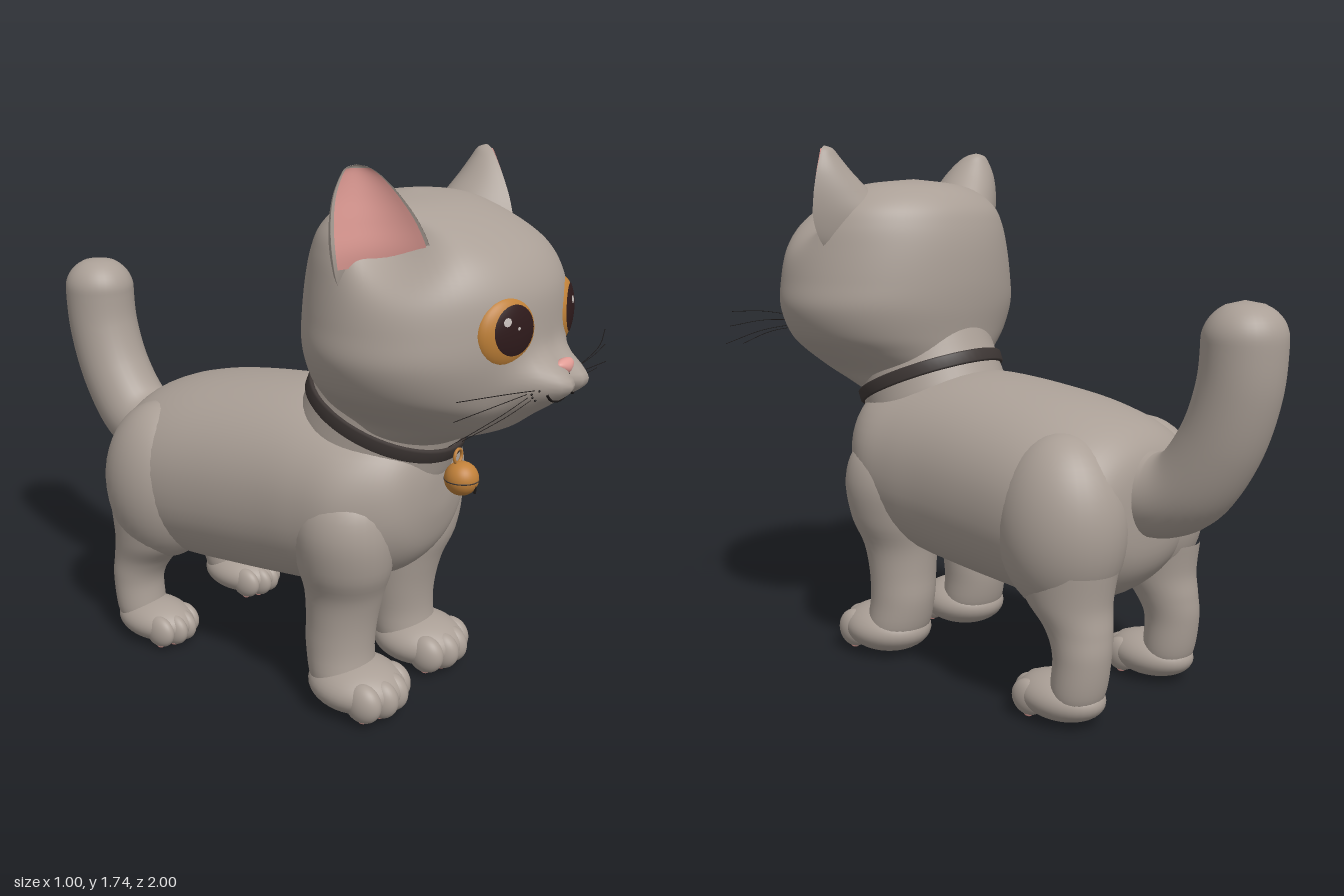
import * as THREE from 'three';
import { mergeVertices } from 'three/addons/utils/BufferGeometryUtils.js';

const mat = (name, hex, side = THREE.FrontSide) => {
  const m = new THREE.MeshStandardMaterial({ color: hex, side });
  m.name = name;
  return m;
};

// Smooth interpolation through a list of cross-sections, t in 0..1
function section(list, t) {
  const f = t * (list.length - 1);
  const i = Math.min(Math.floor(f), list.length - 2), s = f - i;
  const at = (k) => list[Math.max(0, Math.min(list.length - 1, k))];
  return list[i].map((_, k) => {
    const [a, b, c, d] = [at(i - 1)[k], at(i)[k], at(i + 1)[k], at(i + 2)[k]];
    return b + 0.5 * s * (c - a + s * (2 * a - 5 * b + 4 * c - d + s * (3 * (b - c) + d - a)));
  });
}

// Grid surface from a rule fn(u, v) -> [x, y, z]
function surface(fn, nu, nv) {
  const pos = [], idx = [];
  for (let j = 0; j <= nv; j++) for (let i = 0; i <= nu; i++) pos.push(...fn(i / nu, j / nv));
  for (let j = 0; j < nv; j++) for (let i = 0; i < nu; i++) {
    const a = j * (nu + 1) + i, b = a + 1, c = a + nu + 1, d = c + 1;
    idx.push(a, b, c, b, d, c);
  }
  let g = new THREE.BufferGeometry();
  g.setAttribute('position', new THREE.Float32BufferAttribute(pos, 3));
  g.setIndex(idx);
  g = mergeVertices(g, 1e-5);
  g.computeVertexNormals();
  return g;
}

// Upright limb: rows of [y, centreX, centreZ, radiusX, radiusZ]
const limb = (rows) => surface((u, v) => {
  const [y, cx, cz, rx, rz] = section(rows, v), a = u * Math.PI * 2;
  return [cx + rx * Math.sin(a), y, cz + rz * Math.cos(a)];
}, 32, 36);

export function createModel() {
  const fur = mat('fur', 0xaa9f96);
  const pink = mat('pink skin', 0xe09c95, THREE.DoubleSide);
  const amber = mat('amber iris', 0xc08138);
  const dark = mat('dark pupil', 0x2e1a1b);
  const shine = mat('eye highlight', 0xc4bcb8);
  const leather = mat('collar leather', 0x3d3634);
  const line = mat('whisker black', 0x1c1817);
  const brass = mat('bell brass', 0xc08039);

  const root = new THREE.Group();
  root.name = 'cat';
  const add = (parent, name, geo, m, p = [0, 0, 0], s = [1, 1, 1]) => {
    const mesh = new THREE.Mesh(geo, m);
    mesh.name = name;
    mesh.position.set(...p);
    mesh.scale.set(...s);
    parent.add(mesh);
    return mesh;
  };
  const ball = new THREE.SphereGeometry(1, 36, 24);

  // Torso, rear to front: [z, centreY, halfHeight, halfWidth]
  const torso = [[-0.595, 0.64, 0, 0], [-0.585, 0.64, 0.14, 0.2], [-0.54, 0.635, 0.225, 0.295],
    [-0.45, 0.627, 0.285, 0.35], [-0.3, 0.632, 0.322, 0.367], [-0.1, 0.652, 0.332, 0.36],
    [0.1, 0.668, 0.331, 0.35], [0.25, 0.675, 0.315, 0.347], [0.38, 0.69, 0.275, 0.335],
    [0.48, 0.70, 0.25, 0.28], [0.55, 0.715, 0.185, 0.205], [0.58, 0.73, 0.09, 0.1], [0.585, 0.73, 0, 0]];
  const soft = (c) => Math.sign(c) * Math.pow(Math.abs(c), 0.93);
  add(root, 'torso', surface((u, v) => {
    const [z, cy, h, w] = section(torso, v), a = u * Math.PI * 2;
    return [w * soft(Math.cos(a)), cy + h * soft(Math.sin(a)), z];
  }, 48, 60), fur);

  // Head rows: [y, halfWidth, frontZ, backZ], with muzzle swelling and ear hollows
  const skull = [[0.89, 0.17, 0.6, 0.24], [0.94, 0.215, 0.7, 0.21], [0.99, 0.255, 0.815, 0.2],
    [1.06, 0.345, 0.87, 0.19], [1.12, 0.405, 0.885, 0.183], [1.21, 0.44, 0.9, 0.17],
    [1.3, 0.43, 0.905, 0.165], [1.4, 0.41, 0.892, 0.17], [1.48, 0.385, 0.845, 0.185],
    [1.54, 0.345, 0.77, 0.21], [1.59, 0.27, 0.675, 0.26], [1.62, 0.175, 0.58, 0.33], [1.637, 0, 0.45, 0.45]];
  const head = add(root, 'head', surface((u, v) => {
    const [y, w, f, b] = section(skull, v), a = u * Math.PI * 2;
    let x = w * Math.sin(a), z = (f + b) / 2 + (f - b) / 2 * Math.cos(a);
    if (Math.cos(a) > 0) {
      const pads = Math.exp(-(((Math.abs(x) - 0.05) / 0.09) ** 2) - ((y - 1.142) / 0.068) ** 2);
      const chin = Math.exp(-((x / 0.08) ** 2) - ((y - 1.06) / 0.04) ** 2);
      z += 0.118 * pads + 0.015 * chin;
    }
    const r2 = (Math.abs(x) - 0.34) ** 2 + (y - 1.53) ** 2 + (z - 0.61) ** 2;
    const hollow = 0.08 * Math.exp(-r2 / 0.01);
    return [x - Math.sign(x) * hollow, y, z - hollow];
  }, 96, 80), fur);
  head.updateMatrixWorld(true);
  const ray = new THREE.Raycaster();
  const faceZ = (x, y) => {
    ray.set(new THREE.Vector3(x, y, 3), new THREE.Vector3(0, 0, -1));
    return ray.intersectObject(head)[0].point.z;
  };
  const tube = (pts, r, n = 20, sides = 6) =>
    new THREE.TubeGeometry(new THREE.CatmullRomCurve3(pts.map((p) => new THREE.Vector3(...p))), n, r, sides);

  // Neck and collar share one forward tilt
  const neck = new THREE.Group();
  neck.name = 'neckAndCollar';
  neck.position.set(0, 0.955, 0.375);
  neck.rotation.x = 0.385;
  root.add(neck);
  const lathe = (pts) => new THREE.LatheGeometry(pts.map((p) => new THREE.Vector2(...p)), 56);
  add(neck, 'neck', lathe([[0.19, -0.27], [0.232, -0.19], [0.245, -0.12], [0.243, -0.06], [0.238, 0], [0.236, 0.06], [0.236, 0.13]]),
    fur, [0, 0, 0], [1, 1, 1.06]);
  add(neck, 'collar', lathe([[0.23, -0.022], [0.246, -0.022], [0.251, -0.017], [0.251, 0.017], [0.246, 0.022], [0.23, 0.022]]),
    leather, [0, 0, 0], [1, 1, 1.06]);

  // Bell
  add(root, 'bell', ball, brass, [0, 0.782, 0.65], [0.053, 0.053, 0.053]);
  add(root, 'bellRing', new THREE.TorusGeometry(0.022, 0.005, 8, 24), brass, [0, 0.85, 0.635]);
  add(root, 'bellBand', new THREE.TorusGeometry(0.0525, 0.002, 6, 40), leather, [0, 0.78, 0.65]).rotation.x = Math.PI / 2;
  add(root, 'bellSlot', new THREE.BoxGeometry(0.004, 0.03, 0.008), line, [0, 0.758, 0.697]);

  // Nose, narrowing downward
  const nose = ball.clone();
  const np = nose.attributes.position;
  for (let i = 0; i < np.count; i++) np.setX(i, np.getX(i) * (0.62 + 0.38 * np.getY(i)));
  nose.computeVertexNormals();
  add(root, 'nose', nose, pink, [0, 1.186, faceZ(0, 1.186) - 0.002], [0.062, 0.023, 0.022]);

  // Mouth
  const mouth = [-0.105, -0.085, -0.055, -0.025, 0, 0.025, 0.055, 0.085, 0.105];
  const mouthY = [1.13, 1.11, 1.1, 1.107, 1.125, 1.107, 1.1, 1.11, 1.13];
  add(root, 'mouth', tube(mouth.map((x, i) => [x, mouthY[i], faceZ(x, mouthY[i])]), 0.004, 48), line);
  add(root, 'lipLine', tube([1.17, 1.147, 1.125].map((y) => [0, y, faceZ(0, y)]), 0.002, 10), line);

  // Tail with rounded tip: a tube whose radius closes at the end
  const tailPath = new THREE.CatmullRomCurve3([[0.69, -0.5], [0.69, -0.62], [0.735, -0.71], [0.87, -0.805],
    [1.03, -0.86], [1.15, -0.873], [1.285, -0.87]].map(([y, z]) => new THREE.Vector3(0, y, z)));
  const tailLength = tailPath.getLength();
  add(root, 'tail', surface((u, v) => {
    const p = tailPath.getPointAt(v), t = tailPath.getTangentAt(v), a = u * Math.PI * 2;
    const left = (1 - v) * tailLength, full = 0.123 + 0.012 * (1 - v) ** 3;
    const r = full * (left < 0.11 ? Math.sqrt(Math.max(0, 1 - (1 - left / 0.11) ** 2)) : 1);
    return [-r * Math.cos(a), p.y - r * Math.sin(a) * t.z, p.z + r * Math.sin(a) * t.y];
  }, 32, 70), fur);

  // Ear rows: [y, centreX, centreZ, halfWidth, depth]
  const earRows = [[1.35, 0.28, 0.5, 0.07, 0.1], [1.42, 0.315, 0.545, 0.12, 0.2], [1.5, 0.336, 0.56, 0.135, 0.255],
    [1.58, 0.347, 0.545, 0.122, 0.185], [1.65, 0.354, 0.523, 0.094, 0.11], [1.7, 0.357, 0.506, 0.062, 0.06],
    [1.728, 0.36, 0.495, 0.034, 0.032], [1.738, 0.36, 0.49, 0, 0]];
  const K = Math.SQRT1_2;
  const earPoint = (row, lx, lz) => [row[1] + K * (lx + lz), row[0], row[2] + K * (lz - lx)];
  const earShell = surface((u, v) => {
    const row = section(earRows, v), a = u * Math.PI * 2, c = Math.cos(a);
    return earPoint(row, row[3] * Math.sin(a), c > 0 ? -0.3 * row[3] * c * c : row[4] * c);
  }, 40, 40);
  const earInner = surface((u, v) => {
    const row = section(earRows, 0.22 + 0.64 * v), s = (u * 2 - 1) * 0.92;
    return earPoint(row, row[3] * s, -0.3 * row[3] * (1 - s * s) + 0.006);
  }, 16, 24);

  const frontLeg = limb([[0.03, 0.19, 0.37, 0.05, 0.05], [0.09, 0.189, 0.36, 0.11, 0.1], [0.2, 0.183, 0.34, 0.112, 0.11],
    [0.3, 0.178, 0.342, 0.116, 0.115], [0.4, 0.18, 0.35, 0.124, 0.13], [0.5, 0.198, 0.36, 0.142, 0.155],
    [0.63, 0.21, 0.36, 0.146, 0.165], [0.74, 0.2, 0.36, 0.115, 0.13], [0.82, 0.19, 0.36, 0, 0]]);
  const hindLeg = limb([[0.03, 0.24, -0.47, 0.05, 0.05], [0.1, 0.24, -0.484, 0.086, 0.082], [0.22, 0.238, -0.497, 0.088, 0.09],
    [0.3, 0.23, -0.477, 0.097, 0.108], [0.38, 0.225, -0.435, 0.118, 0.142], [0.48, 0.22, -0.415, 0.135, 0.175]]);

  // Paired parts, built on the left (+x) and mirrored
  for (const side of [1, -1]) {
    const half = new THREE.Group();
    half.name = side > 0 ? 'leftSide' : 'rightSide';
    half.scale.x = side;
    root.add(half);

    add(half, 'ear', earShell, fur);
    add(half, 'innerEar', earInner, pink);
    add(half, 'frontLeg', frontLeg, fur);
    add(half, 'hindLeg', hindLeg, fur);
    add(half, 'haunch', ball, fur, [0.205, 0.6, -0.39], [0.186, 0.28, 0.212]);

    // Paws with toes and pads: [centreX, centreZ, radiusX, radiusZ, halfHeight]
    for (const [name, x, z, rx, rz, h] of [['frontPaw', 0.19, 0.41, 0.142, 0.162, 0.084], ['hindPaw', 0.238, -0.418, 0.108, 0.152, 0.072]]) {
      add(half, name, ball, fur, [x, h + 0.005, z], [rx, h, rz]);
      for (const k of [-1.5, -0.5, 0.5, 1.5]) {
        const tz = z + rz * (Math.abs(k) > 1 ? 0.5 : 0.66);
        add(half, name + 'Toe', ball, fur, [x + k * rx * 0.4, h * 0.94, tz], [rx * 0.31, h * 0.78, rz * 0.4]);
        add(half, name + 'ToePad', ball, pink, [x + k * rx * 0.4, h * 0.2, tz], [rx * 0.1, 0.009, rz * 0.1]);
      }
      add(half, name + 'Pad', ball, pink, [x, 0.009, z], [rx * 0.22, 0.008, rz * 0.16]);
    }

    // Eye: flattened ball with the pupil as a cap on the same curve
    const eye = new THREE.Group();
    eye.name = 'eye';
    eye.position.set(0.172, 1.3, faceZ(0.172, 1.3) - 0.025);
    eye.rotation.y = 0.34;
    eye.scale.set(0.104, 0.099, 0.041);
    half.add(eye);
    add(eye, 'iris', ball, amber);
    const cap = (name, m, size, radius, dx, dy) => {
      const g = new THREE.SphereGeometry(radius, 32, 10, 0, Math.PI * 2, 0, Math.asin(size)).rotateX(Math.PI / 2);
      g.rotateX(-Math.asin(dy)).rotateY(Math.asin(dx));
      add(eye, name, g, m);
    };
    cap('pupil', dark, 0.69, 1.03, -0.1, 0.16);
    cap('highlight', shine, 0.12, 1.06, -0.26 * side, 0.38);
    cap('smallHighlight', shine, 0.045, 1.06, 0.12 * side, 0.18);

    // Whiskers: [startX, startY, endX, endY]
    for (const [sx, sy, ex, ey] of [[0.12, 1.14, 0.47, 1.185], [0.13, 1.13, 0.48, 1.135], [0.125, 1.12, 0.5, 1.075], [0.115, 1.11, 0.43, 1.07]]) {
      const z = faceZ(sx, sy);
      add(half, 'whisker', tube([[sx, sy, z - 0.01], [(sx + ex) / 2, (sy + ey) / 2 + 0.01, z - 0.01], [ex, ey, 0.875]], 0.0011, 14, 4), line);
      add(half, 'whiskerSpot', ball, line, [sx, sy, z], [0.0035, 0.0035, 0.003]);
    }
  }
  return root;
}
